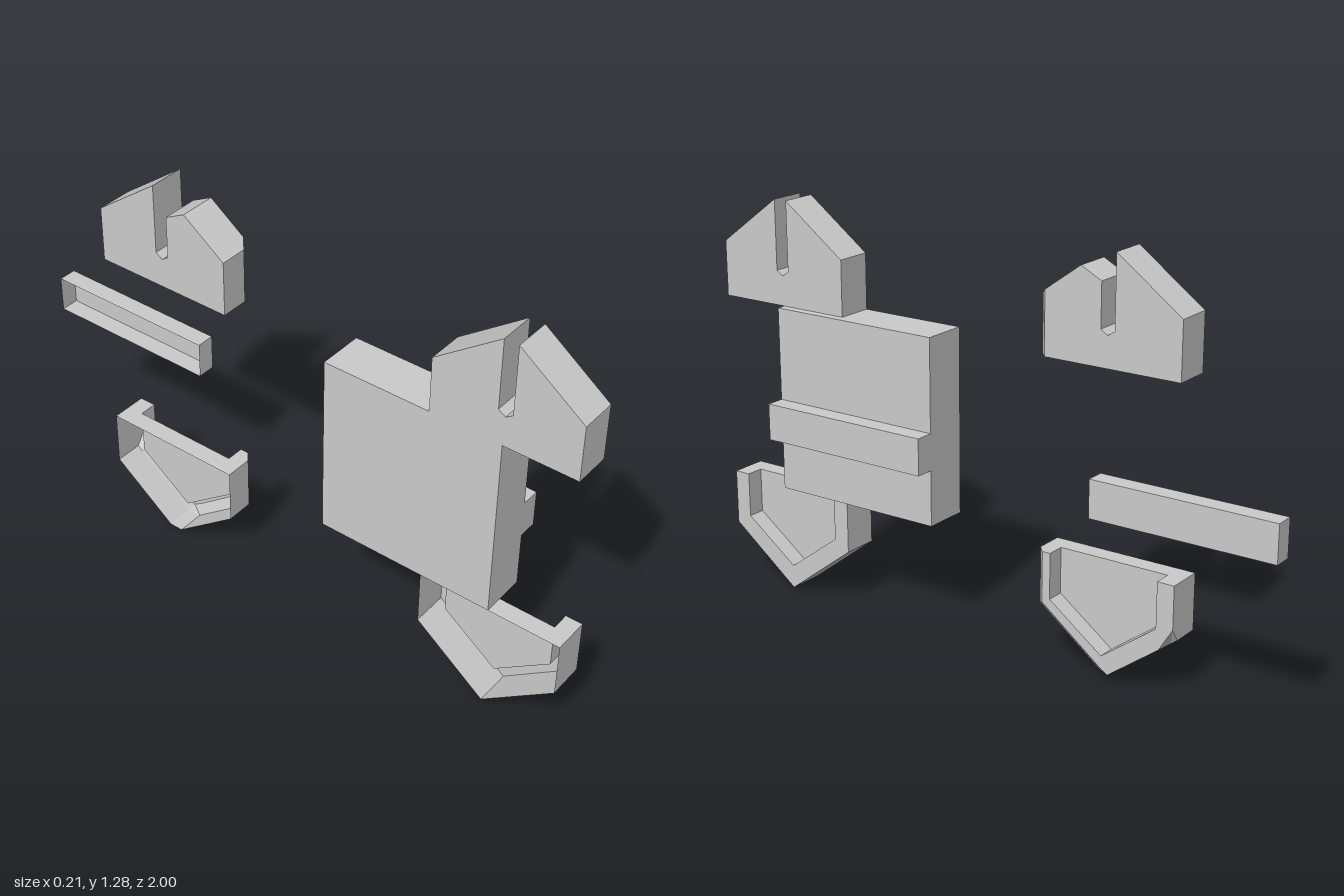
import * as THREE from 'three';

const X0 = -0.105, X1 = 0.013, FLOOR = -0.045, CHAMFER = -0.015;
const TOP = 0.945, BOTTOM = 0.355;
const material = new THREE.MeshStandardMaterial({ color: 0xcccccc, flatShading: true, side: THREE.DoubleSide });

function mesh(name, geometry) {
  const m = new THREE.Mesh(geometry, material);
  m.name = name;
  return m;
}

function fromTriangles(positions) {
  const g = new THREE.BufferGeometry();
  g.setAttribute('position', new THREE.Float32BufferAttribute(positions, 3));
  g.computeVertexNormals();
  return g;
}

function boxBetween(name, x0, x1, y0, y1, z0, z1) {
  const g = new THREE.BoxGeometry(x1 - x0, y1 - y0, z1 - z0);
  g.translate((x0 + x1) / 2, (y0 + y1) / 2, (z0 + z1) / 2);
  return mesh(name, g);
}

// Walls between rings { x, pts: [z, y] } listed clockwise; the last edge stays open
function walls(out, rings, inward = false) {
  for (let r = 0; r < rings.length - 1; r++) {
    const a = rings[r], b = rings[r + 1];
    for (let i = 0; i < a.pts.length - 1; i++) {
      const p = (ring, k) => [ring.x, ring.pts[k][1], ring.pts[k][0]];
      const A = p(a, i), B = p(a, i + 1), C = p(b, i + 1), D = p(b, i);
      if (inward) out.push(...A, ...C, ...B, ...A, ...D, ...C);
      else out.push(...A, ...B, ...C, ...A, ...C, ...D);
    }
  }
}

// Flat polygon; place() maps its 2D points to 3D, clockwise picks the winding
function polygon(out, pts, place, clockwise) {
  const v = pts.map(([a, b]) => new THREE.Vector2(a, b));
  for (const [i, j, k] of THREE.ShapeUtils.triangulateShape(v, [])) {
    const isClockwise = THREE.ShapeUtils.area([v[i], v[j], v[k]]) < 0;
    for (const n of isClockwise === clockwise ? [i, j, k] : [i, k, j]) out.push(...place(pts[n]));
  }
}
const atX = (x) => ([z, y]) => [x, y, z];

// Gabled block with a slot through it, open underneath
function slottedBlock(name, rings) {
  const out = [];
  walls(out, rings);
  const last = rings[rings.length - 1];
  polygon(out, rings[0].pts, atX(rings[0].x), false);
  polygon(out, last.pts, atX(last.x), true);
  return mesh(name, fromTriangles(out));
}

// Pointed cup with a pocket facing +x, open on its -x side
function pointedCup(name, rings, inner) {
  const out = [];
  const last = rings[rings.length - 1];
  walls(out, rings);
  walls(out, [{ x: FLOOR, pts: inner }, { x: X1, pts: inner }], true);
  polygon(out, inner, atX(FLOOR), true);
  polygon(out, [...last.pts, ...[...inner].reverse()], atX(X1), true);
  // top rim around the pocket
  const end = (ring) => ring.pts[ring.pts.length - 1][0];
  const rim = [
    ...rings.map((r) => [r.x, r.pts[0][0]]),
    [X1, inner[0][0]], [FLOOR, inner[0][0]],
    [FLOOR, inner[4][0]], [X1, inner[4][0]],
    [X1, end(last)], [X0, end(rings[0])],
  ];
  polygon(out, rim, ([x, z]) => [x, BOTTOM, z], true);
  return mesh(name, fromTriangles(out));
}

const pocket = (c) => [[c + 0.18, BOTTOM], [c + 0.18, 0.21], [c, 0.077], [c - 0.18, 0.21], [c - 0.18, BOTTOM]];

export function createModel() {
  const group = new THREE.Group();

  // Main plate with its rail, and the loose rail behind
  group.add(boxBetween('plate', X0, 0.042, BOTTOM, TOP, 0.18, 0.765));
  group.add(boxBetween('plateRail', 0.042, 0.102, 0.533, 0.65, 0.18, 0.765));
  const looseRail = [];
  const bar = [[-0.415, 0.65], [-0.415, 0.533], [-1, 0.533], [-1, 0.65], [-0.415, 0.65]];
  walls(looseRail, [{ x: 0.042, pts: bar }, { x: 0.102, pts: bar }]);
  polygon(looseRail, bar.slice(0, 4), atX(0.102), true);
  group.add(mesh('looseRail', fromTriangles(looseRail)));

  // Front upper block
  const gable = [[0.533, TOP], [0.533, 1.122], [0.745, 1.277], [0.745, 1.055], [0.768, 1.04],
    [0.79, 1.055], [0.79, 1.277], [1, 1.122], [1, TOP]];
  group.add(slottedBlock('frontUpperBlock', [{ x: X0, pts: gable }, { x: X1, pts: gable }]));

  // Rear upper block: cut-down peak and one chamfered corner
  const rearGable = (z, y) => [[-0.645, TOP], [-0.645, 1.122], [-0.433, 1.277], [-0.433, 1.055], [-0.41, 1.04],
    [-0.388, 1.055], [-0.388, 1.19], [-0.32, 1.225], [z, y], [z, TOP]];
  group.add(slottedBlock('rearUpperBlock', [
    { x: X0, pts: rearGable(-0.178, 1.122) },
    { x: CHAMFER, pts: rearGable(-0.178, 1.122) },
    { x: X1, pts: rearGable(-0.203, 1.14) },
  ]));

  // Front lower cup
  const cup = [[1, BOTTOM], [1, 0.178], [0.767, 0], [0.533, 0.178], [0.533, BOTTOM]];
  group.add(pointedCup('frontLowerCup', [{ x: X0, pts: cup }, { x: X1, pts: cup }], pocket(0.766)));

  // Rear lower cup: blunt tip and chamfered edges
  const blunt = [[-0.178, BOTTOM], [-0.178, 0.178], [-0.388, 0.018], [-0.433, 0.018],
    [-0.625, 0.163], [-0.645, 0.178], [-0.645, BOTTOM]];
  const chamfered = [[-0.203, BOTTOM], [-0.203, 0.195], [-0.405, 0.04], [-0.433, 0.022],
    [-0.6, 0.147], [-0.645, 0.22], [-0.645, BOTTOM]];
  group.add(pointedCup('rearLowerCup', [
    { x: X0, pts: blunt }, { x: CHAMFER, pts: blunt }, { x: X1, pts: chamfered },
  ], pocket(-0.41)));

  return group;
}
